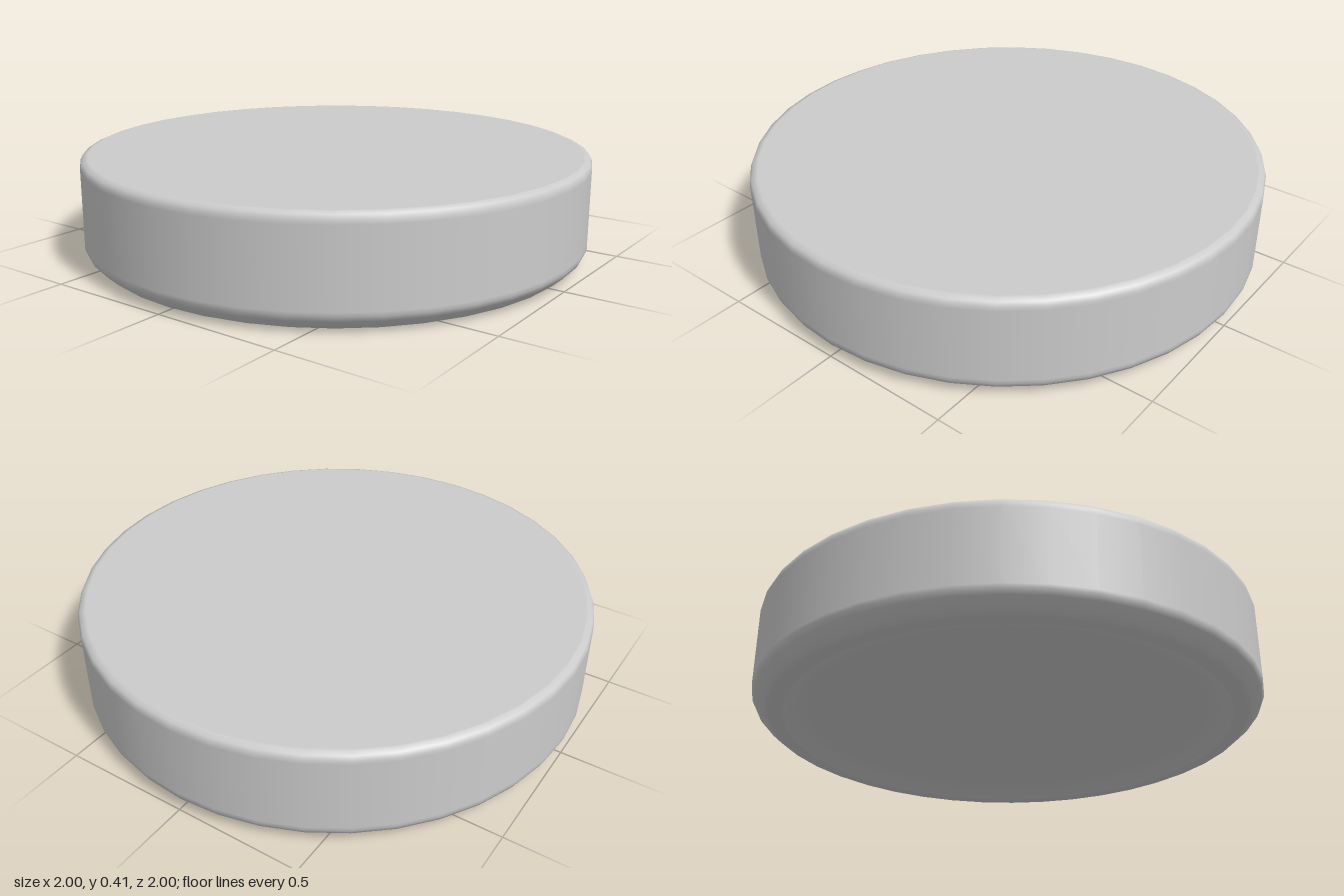
import * as THREE from 'three';

const SIDES = 40;

export function createModel() {
  const group = new THREE.Group();
  group.name = 'roundPuck';

  // [radius, height] from the centre of the dished underside, over the rim, to the centre of the top
  const profile = [
    [0, 0.06], [0.58, 0.06], [0.7, 0.056], [0.78, 0.046], [0.84, 0.028], [0.875, 0.002], // shallow dish
    [0.89, 0], [0.93, 0], [0.95, 0.009], [0.99, 0.045], [1, 0.065], // foot and chamfer
    [1, 0.08], [1, 0.365], [1, 0.38], [0.993, 0.397], [0.975, 0.405], // straight wall and rounded edge
    [0.968, 0.405], [0, 0.405], // flat top
  ];
  const points = profile.map(([r, y]) => new THREE.Vector2(r, y));
  const body = new THREE.Mesh(
    new THREE.LatheGeometry(points, SIDES),
    new THREE.MeshStandardMaterial({ color: 0xcccccc }),
  );
  body.name = 'dishedBody';
  group.add(body);
  return group;
}
